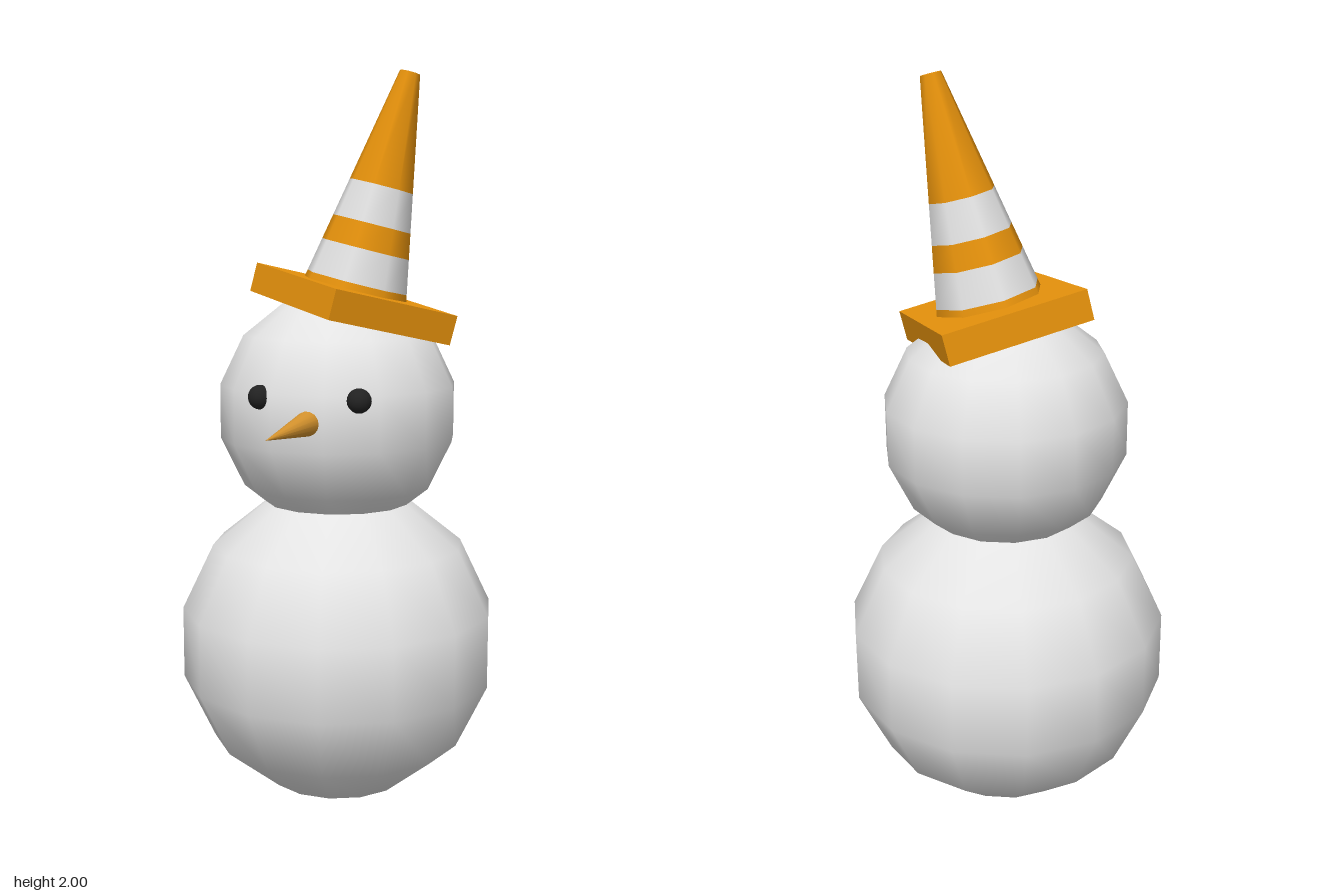
import * as THREE from 'three';

const paint = (name, color) => {
  const m = new THREE.MeshStandardMaterial({ color });
  m.name = name;
  return m;
};

export function createModel() {
  const snow = paint('snow white', 0xe4e4e4);
  const orange = paint('cone orange', 0xe8930c);
  const carrot = paint('carrot orange', 0xd8952e);
  const coal = paint('coal black', 0x222222);

  const model = new THREE.Group();
  model.name = 'snowman';
  const add = (name, geometry, material, position = [0, 0, 0], parent = model) => {
    const mesh = new THREE.Mesh(geometry, material);
    mesh.name = name;
    mesh.position.set(...position);
    parent.add(mesh);
    return mesh;
  };

  // Snowballs: coarse smooth spheres with a vertex column facing front
  const ball = (r) => new THREE.SphereGeometry(r, 14, 7).rotateY(Math.PI / 2);
  add('body', ball(0.444), snow, [0, 0.45, -0.077]);
  add('head', ball(0.331), snow, [0, 1.1, -0.077]);

  // Coal eyes
  add('rightEye', new THREE.SphereGeometry(0.032, 14, 10), coal, [-0.043, 1.163, 0.231]);
  add('leftEye', new THREE.SphereGeometry(0.032, 14, 10), coal, [0.213, 1.163, 0.161]);

  // Carrot nose, from inside the head to its tip
  const root = new THREE.Vector3(0.088, 1.103, 0.19);
  const tip = new THREE.Vector3(0.167, 1.103, 0.505);
  const noseAxis = tip.clone().sub(root);
  const nose = add('nose', new THREE.ConeGeometry(0.036, noseAxis.length(), 14), carrot,
    root.clone().lerp(tip, 0.5).toArray());
  nose.quaternion.setFromUnitVectors(new THREE.Vector3(0, 1, 0), noseAxis.normalize());

  // Traffic cone hat, tilted; its origin is the middle of the plate's top
  const hat = new THREE.Group();
  hat.name = 'coneHat';
  const up = new THREE.Vector3(0.207, 0.969, -0.128).normalize();
  const front = new THREE.Vector3(0.879, -0.137, 0.457).cross(up).normalize();
  const side = up.clone().cross(front);
  hat.quaternion.setFromRotationMatrix(new THREE.Matrix4().makeBasis(side, up, front));
  hat.position.set(0.049, 1.431, -0.085);
  model.add(hat);

  add('hatPlate', new THREE.BoxGeometry(0.437, 0.08, 0.386), orange, [0, -0.04, 0], hat);

  // Stacked cone bands, alternating orange and white
  const heights = [0, 0.018, 0.11, 0.178, 0.28, 0.584];
  const top = heights[heights.length - 1];
  const radius = (h) => THREE.MathUtils.lerp(0.145, 0.028, h / top);
  for (let i = 0; i < heights.length - 1; i++) {
    const [a, b] = [heights[i], heights[i + 1]];
    const open = b < top;
    add(`hatBand${i + 1}`, new THREE.CylinderGeometry(radius(b), radius(a), b - a, 8, 1, open),
      i % 2 ? snow : orange, [0, (a + b) / 2, 0], hat);
  }
  return model;
}
